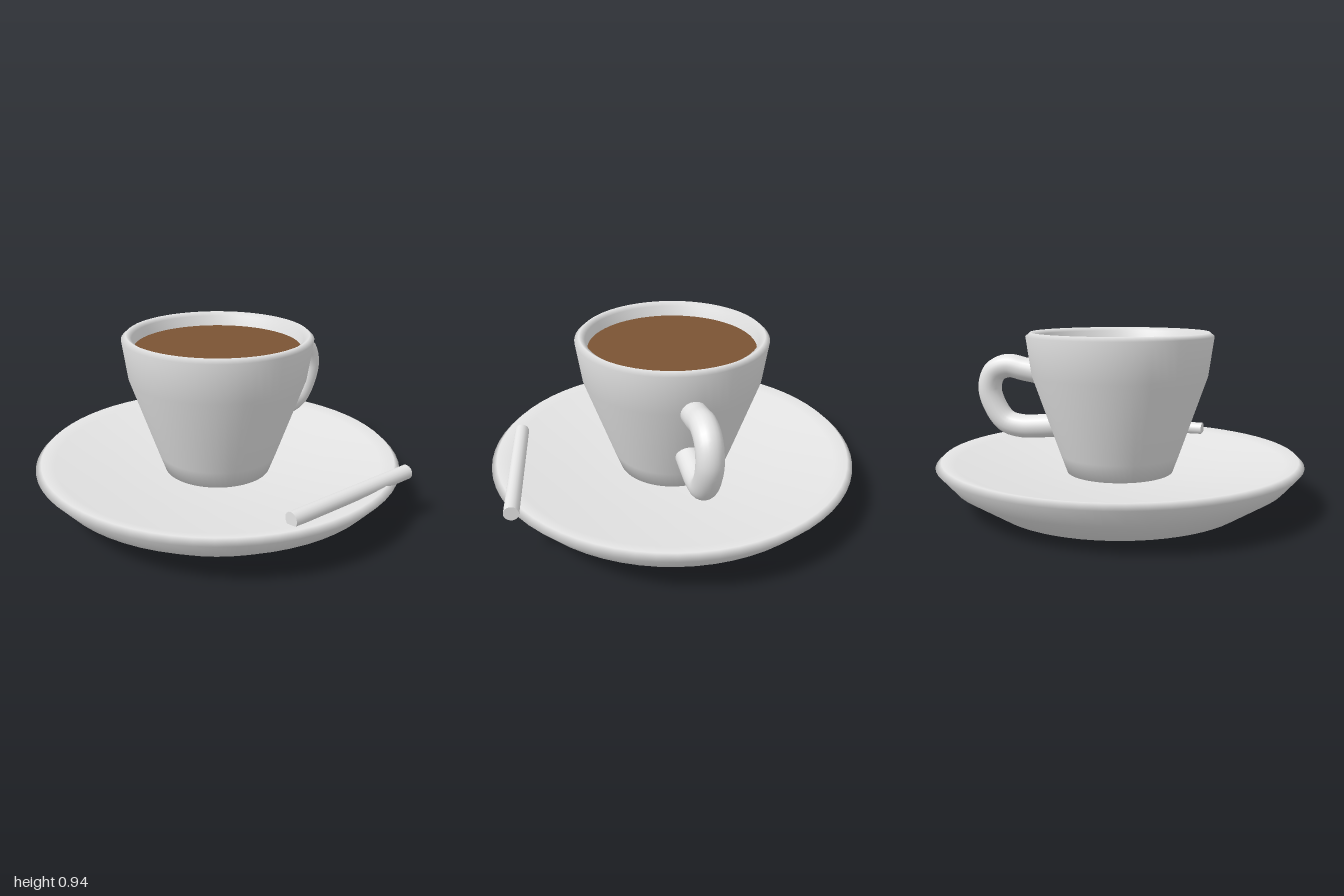
import * as THREE from 'three';

const ceramic = new THREE.MeshStandardMaterial({ color: 0xe4e4e4 });
ceramic.name = 'ceramic';
const coffeeBrown = new THREE.MeshStandardMaterial({ color: 0x7b5434 });
coffeeBrown.name = 'coffee brown';

function part(name, geometry, material = ceramic) {
  const mesh = new THREE.Mesh(geometry, material);
  mesh.name = name;
  return mesh;
}

// Turned part from [radius, height] pairs, running from the underside out and over the rim
const turned = (profile) =>
  new THREE.LatheGeometry(profile.map(([r, y]) => new THREE.Vector2(r, y)), 64);

export function createModel() {
  const model = new THREE.Group();
  model.name = 'cupAndSaucer';

  // Shallow saucer
  model.add(part('saucer', turned([
    [0, 0], [0.7, 0], [0.91, 0.135], [1, 0.237], [0.97, 0.265],
    [0.9, 0.245], [0.6, 0.205], [0.3, 0.17], [0, 0.165],
  ])));

  // Cup with a thick rim and hollow inside
  model.add(part('cup', turned([
    [0, 0.16], [0.29, 0.16], [0.33, 0.27], [0.48, 0.705], [0.51, 0.918], [0.485, 0.94],
    [0.455, 0.92], [0.435, 0.8], [0.3, 0.3], [0, 0.25],
  ])));

  // Coffee surface
  const coffee = part('coffee', new THREE.CircleGeometry(0.447, 64), coffeeBrown);
  coffee.rotation.x = -Math.PI / 2;
  coffee.position.y = 0.865;
  model.add(coffee);

  // Handle loop on the left side, with closed ends
  const handle = new THREE.Group();
  handle.name = 'handle';
  const path = new THREE.CatmullRomCurve3([
    [0.47, 0.705], [0.56, 0.72], [0.66, 0.737], [0.745, 0.7], [0.778, 0.605],
    [0.74, 0.49], [0.675, 0.415], [0.58, 0.392], [0.47, 0.397], [0.36, 0.408],
  ].map(([x, y]) => new THREE.Vector3(x, y, 0)));
  handle.add(part('handleLoop', new THREE.TubeGeometry(path, 48, 0.067, 20)));
  for (const t of [0, 1]) {
    const cap = part('handleEnd', new THREE.CircleGeometry(0.067, 20));
    cap.position.copy(path.getPointAt(t));
    const outward = path.getTangentAt(t).multiplyScalar(t ? 1 : -1);
    cap.quaternion.setFromUnitVectors(new THREE.Vector3(0, 0, 1), outward);
    handle.add(cap);
  }
  model.add(handle);

  // Stirring stick lying across the front of the saucer
  const start = new THREE.Vector3(-0.33, 0.27, 0.82);
  const end = new THREE.Vector3(0.49, 0.27, 0.91);
  const along = end.clone().sub(start);
  const stick = part('stirringStick', new THREE.CylinderGeometry(0.039, 0.039, along.length(), 20));
  stick.position.copy(start).add(end).multiplyScalar(0.5);
  stick.quaternion.setFromUnitVectors(new THREE.Vector3(0, 1, 0), along.normalize());
  model.add(stick);

  return model;
}
